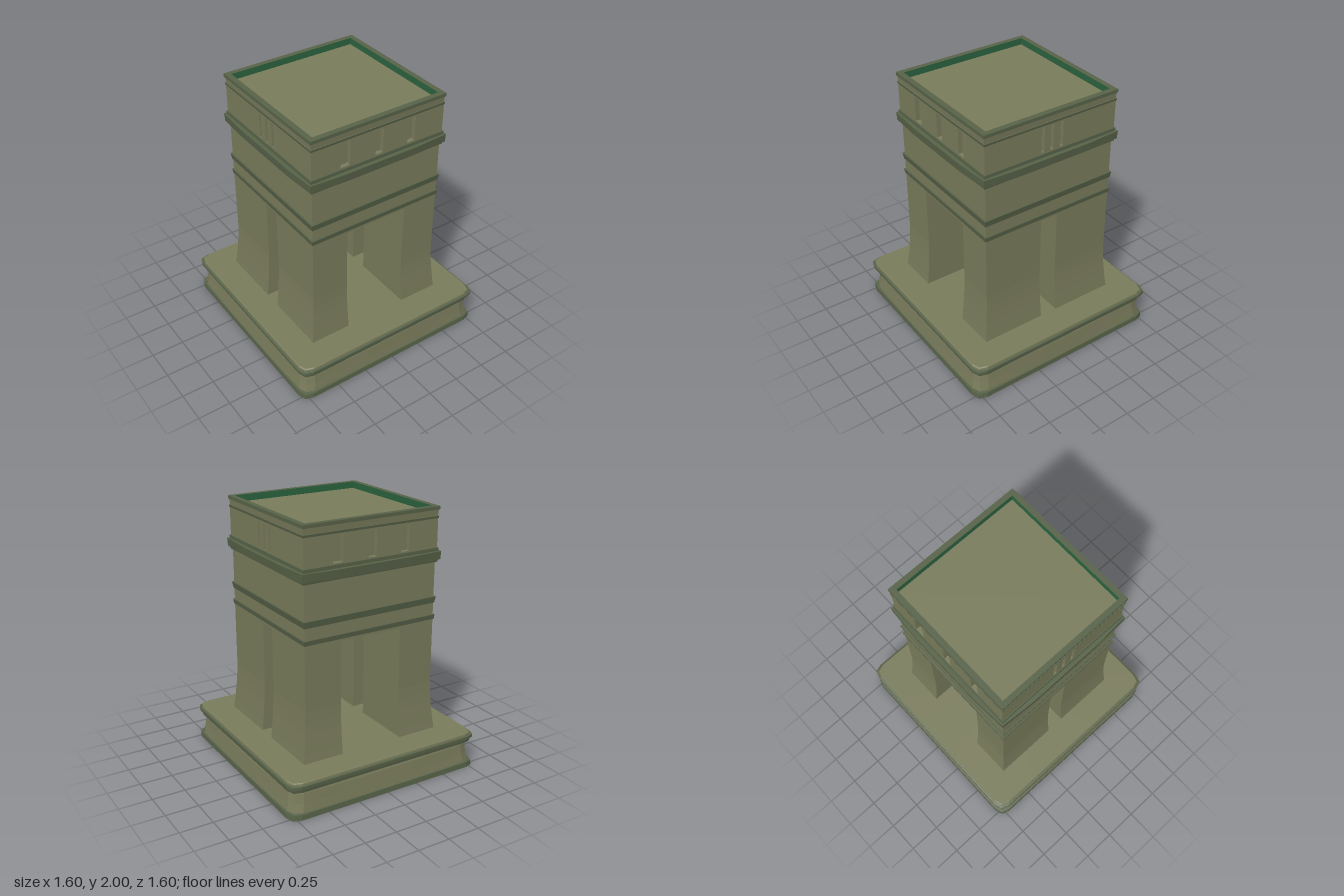
import * as THREE from 'three';

const material = (color) => new THREE.MeshStandardMaterial({ color, flatShading: true });

// Rotate the points of one side [along, out] into a closed four-sided outline
function outline(side) {
  const pts = [];
  for (let k = 0; k < 4; k++) {
    for (const [u, v] of side) {
      let x = v, z = u;
      for (let r = 0; r < k; r++) [x, z] = [-z, x];
      pts.push([x, z]);
    }
  }
  return pts;
}
const square = (h) => outline([[h, h]]);
// Square with cut corners and gently bowed sides
const rounded = (h, bow = 0) => outline(
  [-0.9, -0.83, -0.57, -0.29, 0.29, 0.57, 0.83, 0.9, 0.975].map((t) =>
    t > 0.95 ? [h * t, h * t] : [h * t, h + bow * (1 - t * t)]));
// Sharp-cornered square whose sides swell at the middle
const bowed = (h, bow) => outline([[-h * 0.53, h + bow], [0, h + bow], [h * 0.53, h + bow], [h, h]]);

// Surface through stacked outlines given as [points, y], with optional end caps
function loft(sections, capStart = true, capEnd = true) {
  const pos = [];
  const tri = (...corners) => corners.forEach((c) => pos.push(...c));
  const rings = sections.map(([pts, y]) => pts.map(([x, z]) => [x, y, z]));
  const n = rings[0].length;
  const center = (r) => [0, 1, 2].map((k) => r.reduce((s, p) => s + p[k], 0) / n);
  for (let i = 0; i < n; i++) {
    const m = (i + 1) % n;
    for (let j = 0; j + 1 < rings.length; j++) {
      const [a, b, c, d] = [rings[j][i], rings[j][m], rings[j + 1][m], rings[j + 1][i]];
      tri(a, d, b);
      tri(d, c, b);
    }
    const s = rings[0], e = rings[rings.length - 1];
    if (capStart) tri(center(s), s[i], s[m]);
    if (capEnd) tri(center(e), e[m], e[i]);
  }
  const g = new THREE.BufferGeometry();
  g.setAttribute('position', new THREE.Float32BufferAttribute(pos, 3));
  g.computeVertexNormals();
  return g;
}

export function createModel() {
  const model = new THREE.Group();
  model.name = 'monumentalArch';
  const stone = material(0x7a7c5c);
  const trim = material(0x586349);
  const lining = material(0x2b633f);

  const add = (name, geometry, mat) => {
    const mesh = new THREE.Mesh(geometry, mat);
    mesh.name = name;
    model.add(mesh);
    return mesh;
  };

  // Hollow plinth: thin inner shell, foot band, bowed battered wall, moulding and deck
  add('plinthInside', loft([
    [rounded(0.75), 0.268], [rounded(0.75), 0.2], [rounded(0.765), 0.1],
    [rounded(0.785), 0.0], [rounded(0.8), 0.0],
  ], true, false), stone);
  add('plinthFoot', loft([
    [rounded(0.8), 0], [rounded(0.797), 0.04], [rounded(0.78), 0.042],
  ], false, false), trim);
  add('plinthWall', loft([
    [rounded(0.778, 0.014), 0.042], [rounded(0.766, 0.018), 0.11],
    [rounded(0.758, 0.018), 0.18], [rounded(0.752, 0.016), 0.205],
  ], false, false), stone);
  add('plinthMoulding', loft([
    [rounded(0.75), 0.205], [rounded(0.784), 0.205], [rounded(0.788), 0.235], [rounded(0.8), 0.237],
    [rounded(0.8), 0.258], [rounded(0.785), 0.262],
  ], false, false), trim);
  add('plinthDeck', loft([
    [rounded(0.785), 0.262], [rounded(0.783), 0.274], [rounded(0.777), 0.28],
  ], false, true), stone);

  // Four piers flaring outwards at the foot and reaching just through the deck
  const flare = [[0.22, 0.57], [0.28, 0.57], [0.34, 0.563], [0.42, 0.555], [0.5, 0.548],
    [0.58, 0.543], [0.66, 0.54], [1.14, 0.54]];
  for (const sx of [-1, 1]) {
    for (const sz of [-1, 1]) {
      const section = ([y, f]) => {
        const pts = [[0.25, 0.07], [f, 0.07], [f, f], [0.25, f]].map(([x, z]) => [x * sx, z * sz]);
        return [sx * sz > 0 ? pts : pts.reverse(), y];
      };
      add('pier', loft(flare.map(section)), stone);
    }
  }

  // Solid block over the crossing passages
  add('upperBlock', loft([[square(0.54), 1.14], [square(0.54), 1.7]]), stone);

  // Horizontal bands
  const band = (name, ...profile) => add(name, loft(profile.map(([h, y]) => [square(h), y])), trim);
  band('lowerBand', [0.546, 1.16], [0.55, 1.195]);
  band('middleBand', [0.545, 1.285], [0.553, 1.333]);
  band('corniceBase', [0.553, 1.595], [0.556, 1.615]);
  add('cornice', loft([[bowed(0.567, 0.015), 1.615], [bowed(0.57, 0.016), 1.675]]), trim);
  band('corniceTop', [0.556, 1.675], [0.556, 1.7]);

  // Attic: recessed core behind four walls pierced by windows
  add('atticCore', loft([[square(0.514), 1.69], [square(0.514), 1.95]]), stone);
  const attic = (half, windows) => {
    const rect = (Path, x0, x1, y0, y1) => new Path(
      [[x0, y0], [x1, y0], [x1, y1], [x0, y1]].map(([x, y]) => new THREE.Vector2(x, y)));
    const shape = rect(THREE.Shape, -half, half, 1.69, 1.93);
    for (const [c, w] of windows) shape.holes.push(rect(THREE.Path, c - w / 2, c + w / 2, 1.71, 1.9));
    return new THREE.ExtrudeGeometry(shape, { depth: 0.036, bevelEnabled: false }).translate(0, 0, 0.512);
  };
  const wide = attic(0.548, [[-0.28, 0.08], [0, 0.064], [0.27, 0.064]]);
  const narrow = attic(0.512, [[-0.078, 0.025], [0, 0.025], [0.08, 0.025]]);
  for (let k = 0; k < 4; k++) {
    add('atticWall', k % 2 ? narrow : wide, stone).rotation.y = k * Math.PI / 2;
  }

  // Parapet around a sunken roof
  const ring = (name, mat, ...profile) =>
    add(name, loft(profile.map(([h, y]) => [square(h), y]), false, false), mat);
  ring('atticString', trim, [0.54, 1.913], [0.551, 1.913], [0.553, 1.93], [0.546, 1.93]);
  ring('parapetWall', stone, [0.546, 1.93], [0.55, 1.975]);
  ring('parapetCoping', trim, [0.55, 1.975], [0.556, 1.975], [0.556, 2], [0.515, 2]);
  ring('parapetLining', lining, [0.515, 2], [0.514, 1.95]);

  return model;
}
